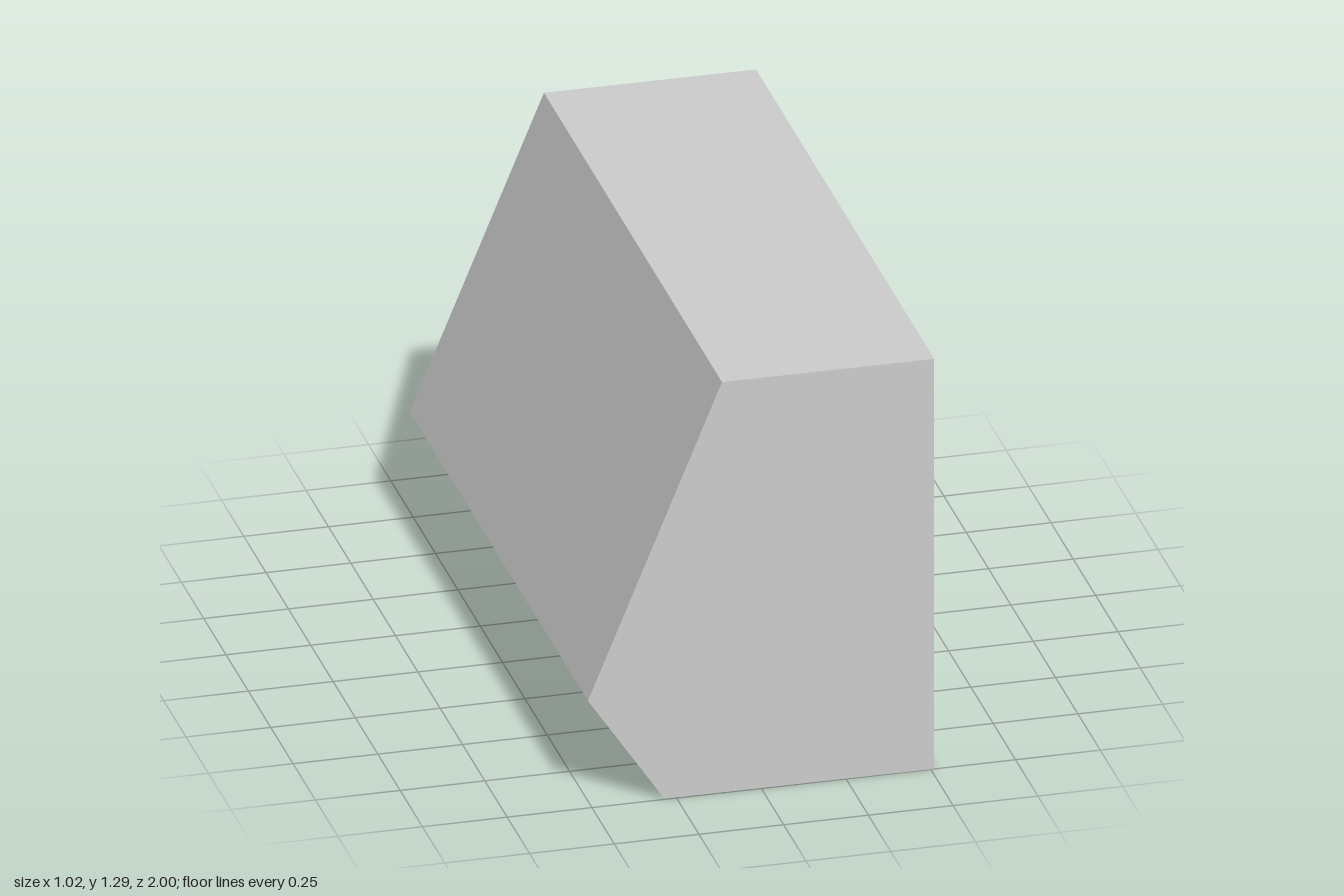
import * as THREE from 'three';

const HEIGHT = 1.295, HALF = 0.9965;
const FACE = 0.51, PANEL = 0.46, SLOT_FLOOR = 0.41;

// Rectangle centred on (u, v), with small rounded corners when r > 0
function rect(Type, u, v, w, h, r = 0) {
  const p = new Type(), a = w / 2, b = h / 2;
  if (r === 0) {
    return p.setFromPoints([[-a, -b], [a, -b], [a, b], [-a, b]]
      .map(([x, y]) => new THREE.Vector2(u + x, v + y)));
  }
  p.absarc(u + a - r, v - b + r, r, -Math.PI / 2, 0);
  p.absarc(u + a - r, v + b - r, r, 0, Math.PI / 2);
  p.absarc(u - a + r, v + b - r, r, Math.PI / 2, Math.PI);
  p.absarc(u - a + r, v - b + r, r, Math.PI, Math.PI * 1.5);
  p.closePath();
  return p;
}

export function createModel() {
  const model = new THREE.Group();
  const material = new THREE.MeshStandardMaterial({ color: 0xcccccc, flatShading: true });

  // The end faces are very slightly out of square
  const skew = new THREE.Matrix4().set(1, 0, 0, 0, 0, 1, 0, 0, 0.0068, 0, 1, 0, 0, 0, 0, 1);

  function add(name, geometry) {
    geometry.applyMatrix4(skew);
    const mesh = new THREE.Mesh(geometry, material);
    mesh.name = name;
    model.add(mesh);
  }

  // Plate in the z-y plane, extruded from x0 to x1
  function plate(name, holes, x0, x1) {
    const shape = rect(THREE.Shape, 0, HEIGHT / 2, HALF * 2, HEIGHT);
    shape.holes.push(...holes);
    const g = new THREE.ExtrudeGeometry(shape, { depth: x1 - x0, bevelEnabled: false, curveSegments: 4 });
    add(name, g.rotateY(Math.PI / 2).translate(x0, 0, 0));
  }

  // Five-sided body running the whole length
  const profile = new THREE.Shape([
    [SLOT_FLOOR, 0], [SLOT_FLOOR, HEIGHT], [-0.115, HEIGHT], [-0.51, 0.335], [-0.285, 0],
  ].map(([x, y]) => new THREE.Vector2(x, y)));
  const body = new THREE.ExtrudeGeometry(profile, { depth: HALF * 2, bevelEnabled: false });
  add('body', body.translate(0, 0, -HALF));

  // Recessed panel with three upright slots
  const slots = [-0.56, 0, 0.56].map((u) => rect(THREE.Path, u - 0.003, 0.647, 0.04, 1.175, 0.008));
  plate('slottedPanel', slots, SLOT_FLOOR, PANEL);

  // Raised rim around the panel
  plate('rim', [rect(THREE.Path, 0, 0.647, 1.915, 1.21)], PANEL, FACE);

  return model;
}
